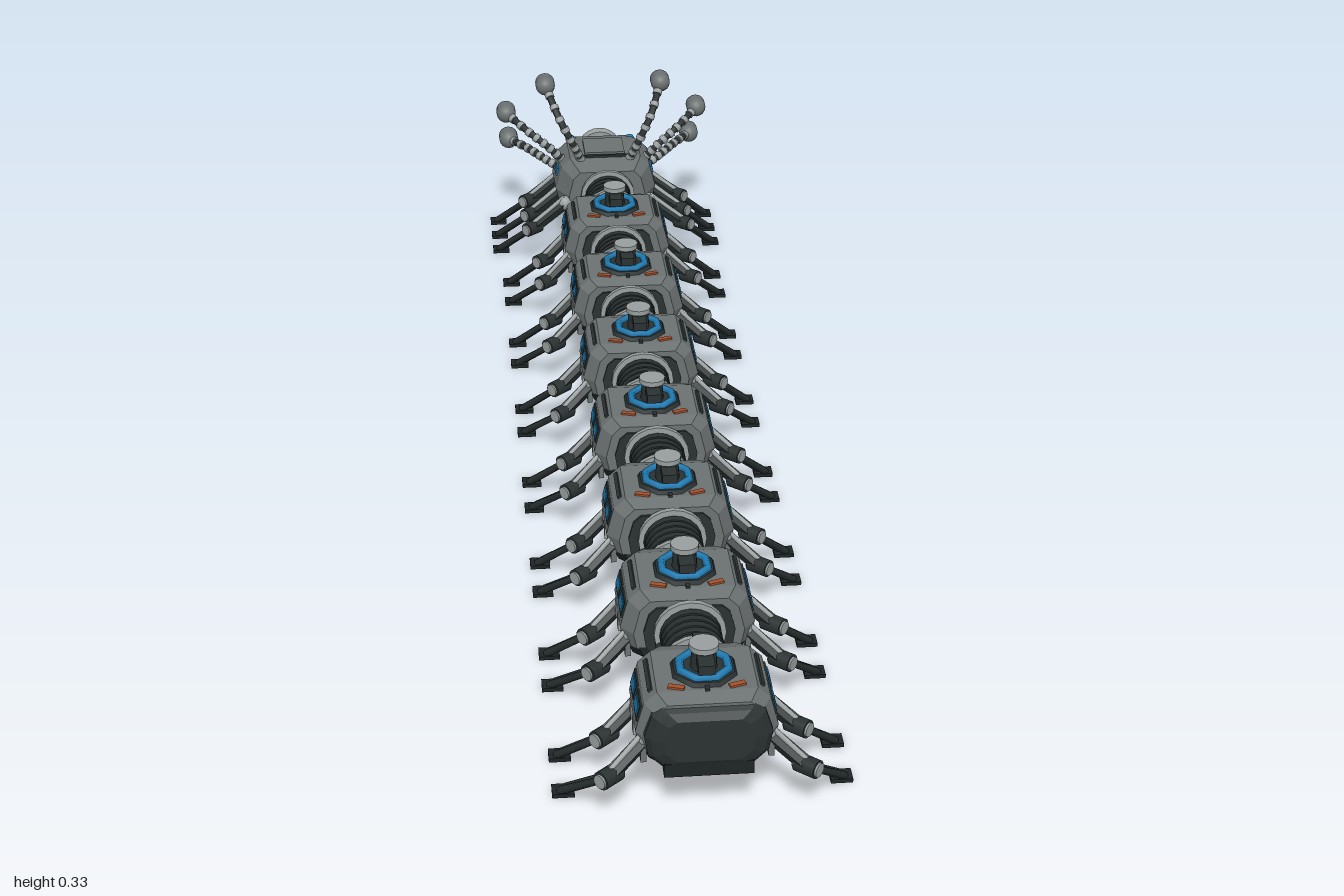
import * as THREE from 'three';

const mat = (name, color) => Object.assign(new THREE.MeshStandardMaterial({ color }), { name });
const grey = mat('armourGrey', 0x6c7272), dark = mat('darkMetal', 0x2b3232), black = mat('undersideBlack', 0x1f2526);
const light = mat('lightMetal', 0x9aa0a0), blue = mat('glowBlue', 0x1f7cb4), orange = mat('orangePaint', 0xa8522c);

const V = (x, y, z) => new THREE.Vector3(x, y, z);
function add(parent, name, geo, material, x = 0, y = 0, z = 0, rx = 0, ry = 0, rz = 0) {
  const m = new THREE.Mesh(geo, material);
  m.name = name;
  m.position.set(x, y, z);
  m.rotation.set(rx, ry, rz);
  parent.add(m);
  return m;
}
const box = (w, h, d) => new THREE.BoxGeometry(w, h, d);
const cyl = (r1, r2, h, n = 16) => new THREE.CylinderGeometry(r1, r2, h, n);

// Rod or beam from a to b
function between(parent, name, a, b, geo, material) {
  const m = add(parent, name, geo, material);
  m.position.copy(a).lerp(b, 0.5);
  m.quaternion.setFromUnitVectors(V(0, 1, 0), b.clone().sub(a).normalize());
  return m;
}

// Faceted hull: half-section mirrored in x, scaled by rings [z, sx, sy] about height cy
function loft(half, rings, cy) {
  const sec = [...half, ...half.slice().reverse().map(([x, y]) => [-x, y])];
  const n = sec.length, out = [];
  const P = (i, j) => {
    const [z, sx, sy] = rings[i], [x, y] = sec[j % n];
    return [x * sx, cy + (y - cy) * sy, z];
  };
  for (let i = 0; i < rings.length - 1; i++)
    for (let j = 0; j < n; j++)
      out.push(P(i, j), P(i, j + 1), P(i + 1, j + 1), P(i, j), P(i + 1, j + 1), P(i + 1, j));
  const e = rings.length - 1;
  for (let j = 1; j < n - 1; j++)
    out.push(P(e, 0), P(e, j), P(e, j + 1), P(0, 0), P(0, j + 1), P(0, j));
  const g = new THREE.BufferGeometry();
  g.setAttribute('position', new THREE.Float32BufferAttribute(out.flat(), 3));
  g.computeVertexNormals();
  return g;
}

const upper = [[0.088, 0.098], [0.094, 0.125], [0.083, 0.168], [0.066, 0.184]];
const lower = [[0.055, 0.07], [0.076, 0.082], [0.085, 0.1]];
const inner = [[0.06, 0.08], [0.08, 0.1], [0.085, 0.13], [0.075, 0.163], [0.06, 0.175]];

// Leg: two-rail shin, knee axle, hip socket and flat foot
function leg(parent, s, hip, knee, foot) {
  const g = new THREE.Group();
  g.name = 'leg';
  const H = V(s * hip[0], hip[1], hip[2]), K = V(s * knee[0], knee[1], knee[2]), F = V(s * foot[0], foot[1], foot[2]);
  const axis = V(s * 0.75, 0, 0.66);
  const off = k => axis.clone().multiplyScalar(k);
  const len = H.distanceTo(K);
  add(g, 'hipSocket', new THREE.SphereGeometry(0.014, 12, 8), light, H.x, H.y, H.z);
  between(g, 'thigh', H, K, box(0.016, len, 0.018), dark);
  between(g, 'thighPiston', H.clone().add(V(0, 0.013, 0)), K.clone().add(V(0, 0.008, 0)), cyl(0.004, 0.004, len, 8), light);
  between(g, 'kneeAxle', K.clone().add(off(-0.016)), K.clone().add(off(0.016)), cyl(0.013, 0.013, 0.032), dark);
  for (const k of [-1, 1]) {
    between(g, 'kneeCap', K.clone().add(off(k * 0.016)), K.clone().add(off(k * 0.019)), cyl(0.01, 0.01, 0.003), light);
    between(g, 'shinRail', K.clone().add(off(k * 0.009)), F.clone().add(off(k * 0.005)), cyl(0.006, 0.005, K.distanceTo(F), 8), dark);
  }
  between(g, 'shinPiston', K, F, cyl(0.003, 0.003, K.distanceTo(F), 6), grey);
  add(g, 'foot', box(0.03, 0.006, 0.024), black, F.x, 0.003, F.z);
  parent.add(g);
}

function segment(z, last) {
  const g = new THREE.Group();
  g.name = 'bodySegment';
  g.position.z = z;
  const rings = [[-0.07, 0.78, 0.85], [-0.048, 1, 1], [0.048, 1, 1], [0.07, 0.82, 0.88]];
  add(g, 'upperArmour', loft(upper, rings, 0.13), grey);
  add(g, 'lowerHull', loft(lower, rings, 0.13), black);
  add(g, 'endBulkhead', loft(inner, [[-0.074, 0.7, 0.8], [0.074, 0.75, 0.85]], 0.13), dark);
  if (last) {
    add(g, 'tailBulge', loft(inner, [[0.05, 1, 1], [0.068, 0.99, 0.98], [0.077, 0.9, 0.88], [0.083, 0.7, 0.66]], 0.13), dark);
    add(g, 'tailBar', box(0.118, 0.02, 0.02), black, 0, 0.082, 0.07);
  }
  // Roof turret
  add(g, 'turretBase', cyl(0.043, 0.046, 0.006, 8), dark, 0, 0.187, 0, 0, Math.PI / 8);
  add(g, 'turretRing', new THREE.TorusGeometry(0.034, 0.006, 6, 8), blue, 0, 0.191, 0, Math.PI / 2, 0, Math.PI / 8);
  add(g, 'turretNeck', cyl(0.016, 0.018, 0.03), dark, 0, 0.204, 0);
  add(g, 'turretBeam', box(0.022, 0.014, 0.08), dark, 0, 0.208, 0);
  add(g, 'turretCap', cyl(0.02, 0.02, 0.008), light, 0, 0.222, 0);
  add(g, 'roofSeam', box(0.006, 0.004, 0.1), dark, 0, 0.185, 0);
  for (const s of [-1, 1]) {
    add(g, 'orangeMark', box(0.022, 0.004, 0.008), orange, s * 0.04, 0.185, 0.04, 0, s * 0.3);
    add(g, 'roofRail', box(0.006, 0.006, 0.07), dark, s * 0.073, 0.178, 0, 0, 0, -s * 0.7);
    for (const k of [-1, 1]) {
      // Side windows in dark frames
      add(g, 'windowFrame', box(0.005, 0.024, 0.04), dark, s * 0.0875, 0.149, k * 0.024, 0, 0, s * 0.25);
      add(g, 'window', box(0.006, 0.014, 0.03), blue, s * 0.0885, 0.149, k * 0.024, 0, 0, s * 0.25);
      add(g, 'sidePad', box(0.012, 0.022, 0.018), light, s * 0.089, 0.115, k * 0.018);
      add(g, 'skirt', box(0.008, 0.022, 0.05), grey, s * 0.084, 0.094, k * 0.034);
    }
    leg(g, s, [0.08, 0.112, 0.045], [0.13, 0.075, 0.074], [0.187, 0.006, 0.004]);
    leg(g, s, [0.08, 0.112, -0.042], [0.13, 0.075, -0.016], [0.187, 0.006, -0.076]);
  }
  return g;
}

// Ribbed joint between segments
function coupling(z) {
  const g = new THREE.Group();
  g.name = 'coupling';
  g.position.set(0, 0.132, z);
  add(g, 'core', cyl(0.038, 0.038, 0.12), black, 0, 0, 0, Math.PI / 2);
  for (let i = -2; i <= 2; i++) add(g, 'rib', cyl(0.043, 0.043, 0.011, 20), dark, 0, 0, i * 0.015, Math.PI / 2);
  for (const k of [-1, 1]) {
    add(g, 'flange', cyl(0.05, 0.05, 0.008, 20), light, 0, 0, k * 0.043, Math.PI / 2);
    add(g, 'sideCable', cyl(0.006, 0.006, 0.1, 8), dark, k * 0.042, -0.018, 0, Math.PI / 2);
  }
  return g;
}

// Banded stalk ending in a lamp that looks forward
function stalk(parent, s, pts) {
  const g = new THREE.Group();
  g.name = 'eyeStalk';
  const curve = new THREE.CatmullRomCurve3(pts.map(p => V(s * p[0], p[1], p[2])));
  add(g, 'stalkTube', new THREE.TubeGeometry(curve, 24, 0.0065, 8), dark);
  for (let i = 0; i < 8; i++) {
    const t = 0.06 + i * 0.12;
    between(g, 'stalkBand', curve.getPoint(t - 0.025), curve.getPoint(t + 0.025), cyl(0.0085, 0.0085, 0.009, 10), light);
  }
  const e = curve.getPoint(1);
  add(g, 'lampBack', new THREE.SphereGeometry(0.018, 16, 10, 0, Math.PI * 2, 0, Math.PI / 2), grey, e.x, e.y, e.z, Math.PI / 2);
  add(g, 'lampBody', cyl(0.018, 0.018, 0.018), grey, e.x, e.y, e.z - 0.009, Math.PI / 2);
  add(g, 'lampLens', cyl(0.014, 0.014, 0.004), blue, e.x, e.y, e.z - 0.019, Math.PI / 2);
  parent.add(g);
}

function head() {
  const g = new THREE.Group();
  g.name = 'head';
  const rings = [[-0.955, 0.48, 0.62], [-0.925, 0.78, 0.86], [-0.885, 1.02, 1], [-0.8, 1, 1], [-0.755, 0.76, 0.82]];
  add(g, 'skull', loft(upper, rings, 0.13), grey);
  add(g, 'jaw', loft(lower, rings, 0.13), black);
  add(g, 'chin', loft([[0.03, 0.066], [0.05, 0.085], [0.04, 0.1]], [[-0.963, 0.75, 0.8], [-0.93, 1, 1], [-0.89, 0.9, 0.9]], 0.09), light);
  // Round face lamp
  add(g, 'faceRim', cyl(0.039, 0.042, 0.014, 24), light, 0, 0.135, -0.957, Math.PI / 2);
  add(g, 'faceLens', cyl(0.032, 0.032, 0.006, 24), blue, 0, 0.135, -0.964, Math.PI / 2);
  add(g, 'lensRing', new THREE.TorusGeometry(0.018, 0.002, 6, 24), dark, 0, 0.135, -0.967);
  for (const a of [0, 1, 2]) add(g, 'lensBar', box(0.06, 0.003, 0.003), dark, 0, 0.135, -0.967, 0, 0, a * Math.PI / 3);
  add(g, 'crownPlate', box(0.075, 0.006, 0.07), grey, 0, 0.186, -0.85);
  add(g, 'crownSeam', box(0.1, 0.004, 0.006), dark, 0, 0.186, -0.805);
  for (const s of [-1, 1]) {
    add(g, 'browEye', new THREE.SphereGeometry(0.01, 12, 8), blue, s * 0.055, 0.172, -0.915);
    add(g, 'sideEye', new THREE.SphereGeometry(0.009, 12, 8), blue, s * 0.085, 0.148, -0.905);
    add(g, 'cheekWindow', box(0.006, 0.014, 0.028), blue, s * 0.0885, 0.149, -0.835, 0, 0, s * 0.25);
    // Curved fang of tapering pieces
    const path = new THREE.CatmullRomCurve3([V(s * 0.07, 0.115, -0.89), V(s * 0.085, 0.085, -0.935), V(s * 0.076, 0.06, -0.968), V(s * 0.054, 0.038, -0.985)]);
    const fang = new THREE.TubeGeometry(path, 12, 1, 10), p = fang.attributes.position;
    for (let i = 0; i < p.count; i++) {
      const t = Math.floor(i / 11) / 12, c = path.getPointAt(t);
      const v = V().fromBufferAttribute(p, i).sub(c).multiplyScalar(0.02 * (1 - t) + 0.0008).add(c);
      p.setXYZ(i, v.x, v.y, v.z);
    }
    fang.computeVertexNormals();
    add(g, 'fang', fang, light);
    stalk(g, s, [[0.045, 0.18, -0.8], [0.06, 0.215, -0.79], [0.085, 0.265, -0.8], [0.108, 0.313, -0.85]]);
    stalk(g, s, [[0.075, 0.165, -0.835], [0.105, 0.195, -0.835], [0.14, 0.22, -0.85], [0.181, 0.242, -0.895]]);
    stalk(g, s, [[0.08, 0.135, -0.87], [0.11, 0.15, -0.885], [0.14, 0.16, -0.915], [0.175, 0.159, -0.968]]);
    for (const z of [-0.8, -0.865, -0.93]) leg(g, s, [0.08, 0.112, z + 0.04], [0.142, 0.075, z + 0.065], [0.2, 0.006, z]);
  }
  return g;
}

export function createModel() {
  const model = new THREE.Group();
  model.name = 'mechanicalCentipede';
  const pitch = 0.2465;
  for (let i = 0; i < 7; i++) {
    const z = 0.902 - i * pitch;
    model.add(segment(z, i === 0), coupling(z - pitch / 2));
  }
  model.add(head());
  return model;
}
